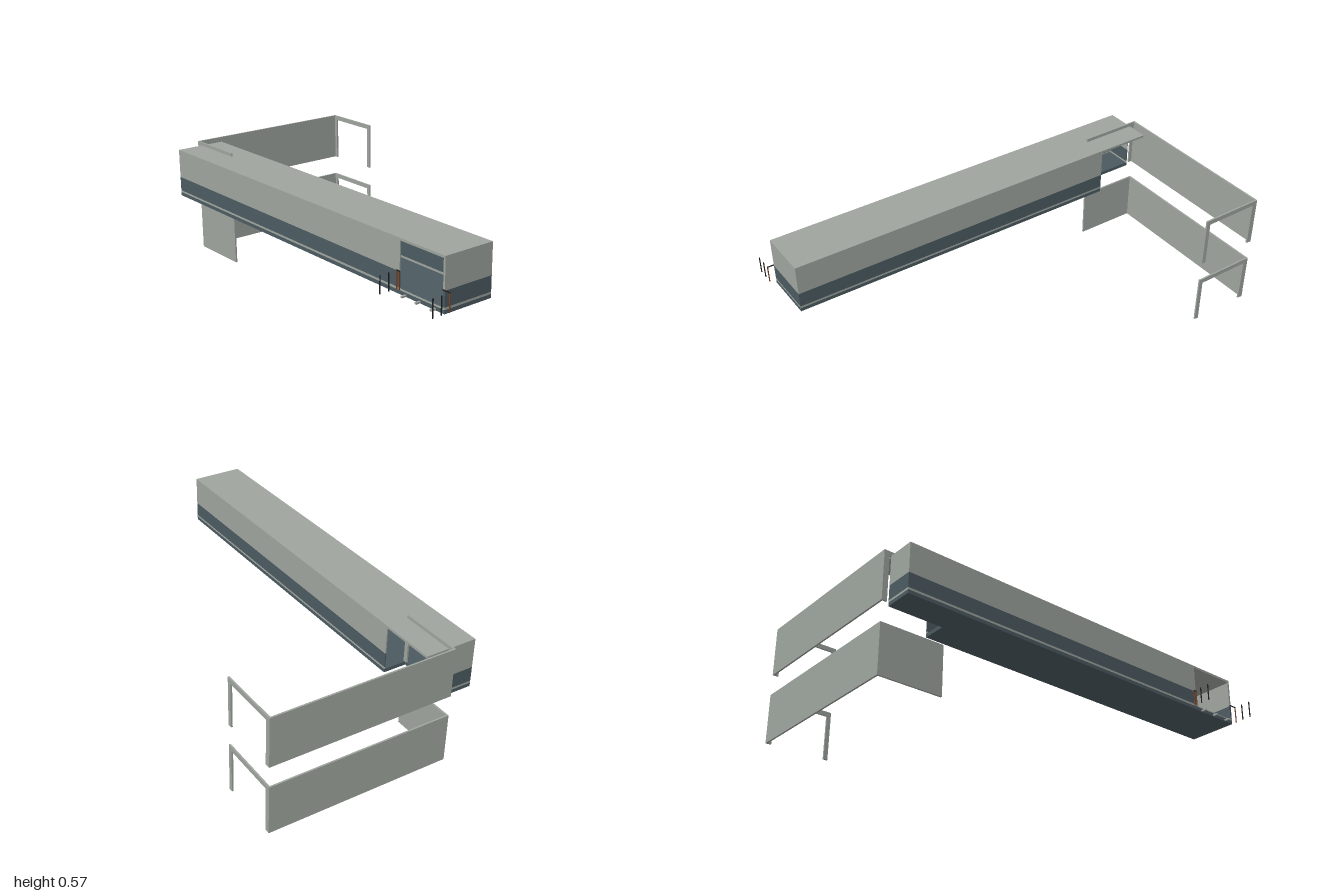
import * as THREE from 'three';

const concrete = new THREE.MeshStandardMaterial({ color: 0x9ea49e });
concrete.name = 'pale grey cladding';
const slate = new THREE.MeshStandardMaterial({ color: 0x4b5a61 });
slate.name = 'slate blue';
const black = new THREE.MeshStandardMaterial({ color: 0x1c1c1c });
black.name = 'black metal';
const rust = new THREE.MeshStandardMaterial({ color: 0x7a4328 });
rust.name = 'rust brown';

// Box given by its minimum and maximum corners
function block(parent, name, material, [x0, y0, z0], [x1, y1, z1]) {
  const mesh = new THREE.Mesh(new THREE.BoxGeometry(x1 - x0, y1 - y0, z1 - z0), material);
  mesh.position.set((x0 + x1) / 2, (y0 + y1) / 2, (z0 + z1) / 2);
  mesh.name = name;
  parent.add(mesh);
}

// Wall of the long hall: low sill, slate window band, cladding above
function hallWall(parent, name, x0, x1, z0, z1) {
  const wall = new THREE.Group();
  wall.name = name;
  block(wall, 'sill', concrete, [x0, 0.332, z0], [x1, 0.342, z1]);
  block(wall, 'windowBand', slate, [x0, 0.342, z0], [x1, 0.411, z1]);
  block(wall, 'cladding', concrete, [x0, 0.411, z0], [x1, 0.54, z1]);
  parent.add(wall);
}

// Arm of a side screen: an open portal or a solid panel
function screenArm(parent, name, y, z, solid) {
  const h = 0.234, t = 0.008, w = 0.025;
  const x0 = -0.992, x1 = -0.692;
  if (solid) {
    block(parent, name, concrete, [x0, y, z], [x1, y + h, z + t]);
    return;
  }
  const portal = new THREE.Group();
  portal.name = name;
  block(portal, 'beam', concrete, [x0, y + h - 0.022, z], [x1, y + h, z + t]);
  block(portal, 'innerPost', concrete, [x0, y, z], [x0 + w - 0.008, y + h - 0.022, z + t]);
  block(portal, 'outerPost', concrete, [x1 - 0.02, y, z], [x1, y + h - 0.022, z + t]);
  parent.add(portal);
}

export function createModel() {
  const model = new THREE.Group();
  model.name = 'hallWithScreens';

  // Long hall with a doorway at each end
  const hall = new THREE.Group();
  hall.name = 'hall';
  model.add(hall);
  const L = -0.965, R = 0.968, B = 0.212, F = 0.461, t = 0.005;

  // Floor, notched at the landing
  const outline = [[L, -F], [R, -F], [R, -B], [-0.70, -B], [-0.70, -0.325], [L, -0.325]];
  const floorShape = new THREE.Shape(outline.map(([x, y]) => new THREE.Vector2(x, y)));
  const floorGeo = new THREE.ExtrudeGeometry(floorShape, { depth: 0.017, bevelEnabled: false });
  floorGeo.rotateX(-Math.PI / 2);
  const floor = new THREE.Mesh(floorGeo, slate);
  floor.position.y = 0.315;
  floor.name = 'floor';
  hall.add(floor);

  block(hall, 'roof', concrete, [L, 0.54, B], [R, 0.551, F]);
  hallWall(hall, 'frontWall', L, 0.71, F - t, F);
  hallWall(hall, 'frontCorner', 0.958, R, F - t, F);
  hallWall(hall, 'backWall', -0.70, R, B, B + t);
  hallWall(hall, 'leftEndWall', R - t, R, B + t, F - t);
  hallWall(hall, 'rightEndWall', L, L + t, 0.325, F - t);
  block(hall, 'doorSill', concrete, [0.71, 0.332, F - t], [0.958, 0.337, F]);

  // Two stacked C-shaped screens
  for (const [name, y, solid] of [['lowerScreen', 0, true], ['upperScreen', 0.333, false]]) {
    const screen = new THREE.Group();
    screen.name = name;
    block(screen, 'longPanel', concrete, [-1, y, -0.55], [-0.992, y + 0.234, 0.329]);
    screenArm(screen, 'backArm', y, -0.55, false);
    screenArm(screen, 'frontArm', y, 0.321, solid);
    model.add(screen);
  }

  // Entrance railings and step brackets
  const entrance = new THREE.Group();
  entrance.name = 'entrance';
  model.add(entrance);
  for (const x of [0.695, 0.998]) {
    for (const z of [0.505, 0.549]) {
      block(entrance, 'railPost', black, [x - 0.002, 0.333, z - 0.002], [x + 0.002, 0.413, z + 0.002]);
    }
    block(entrance, 'wallPost', rust, [x - 0.002, 0.333, F], [x + 0.002, 0.413, F + 0.004]);
  }
  block(entrance, 'rightReturnRail', black, [0.693, 0.411, F], [0.712, 0.415, F + 0.004]);
  block(entrance, 'rightReturnPost', rust, [0.708, 0.333, F], [0.712, 0.411, F + 0.004]);
  block(entrance, 'leftReturnRail', black, [0.958, 0.411, F], [1, 0.415, F + 0.004]);
  for (const x of [0.748, 0.83, 0.917]) {
    block(entrance, 'stepBracket', concrete, [x - 0.005, 0.317, F], [x + 0.005, 0.325, 0.485]);
  }
  return model;
}
